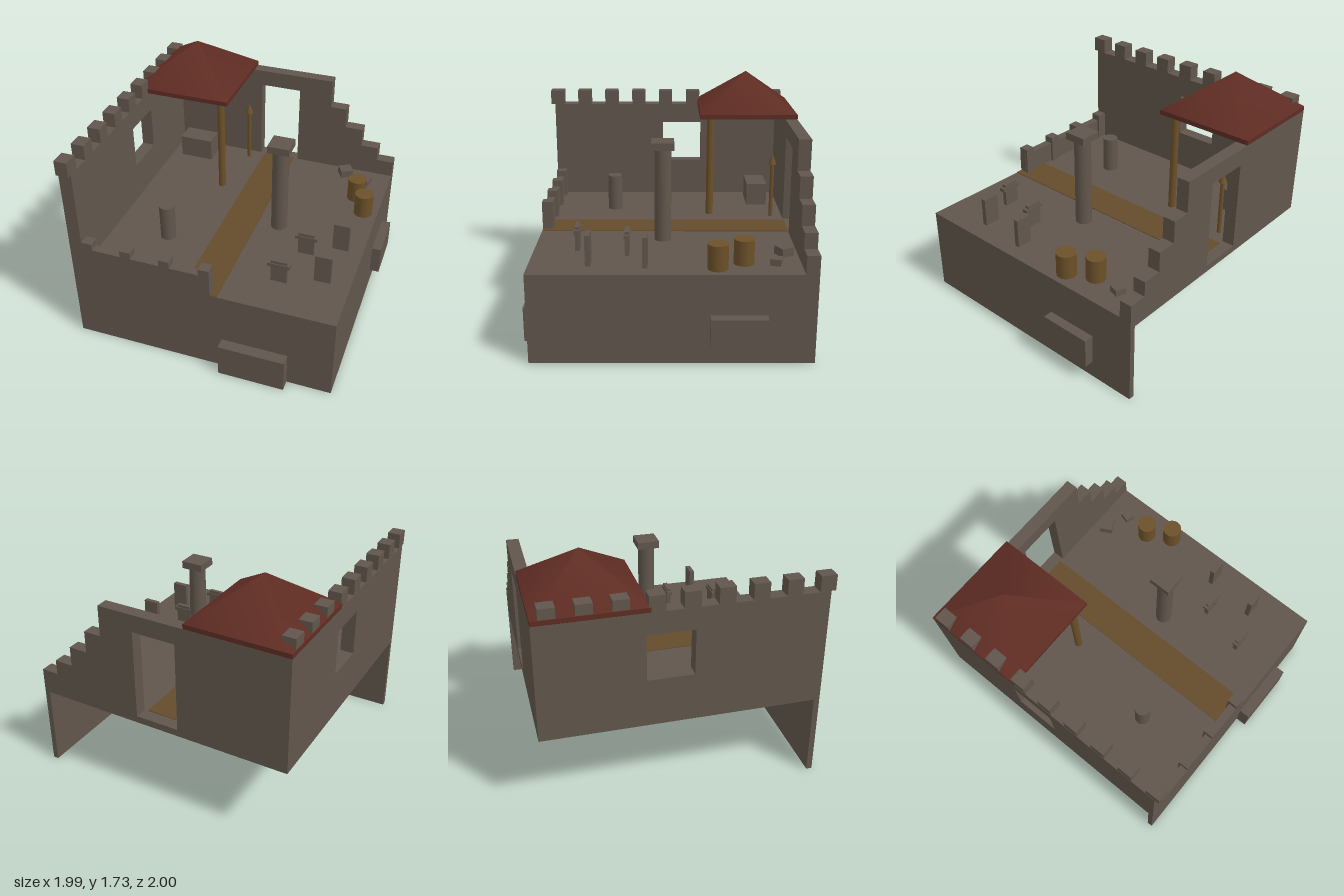
import * as THREE from 'three';

const mat = (name, color) => Object.assign(new THREE.MeshStandardMaterial({ color }), { name });

export function createModel() {
  const model = new THREE.Group();
  model.name = 'ruinedCourtyard';
  const stone = mat('stone', 0x61564c);
  const wood = mat('wood', 0x6c5029);
  const tile = mat('roofTile', 0x5e2c23);
  const path = mat('path', 0x644c2b);
  const floorY = 0.64;

  const add = (name, geometry, material, x = 0, y = 0, z = 0, parent = model) => {
    const mesh = new THREE.Mesh(geometry, material);
    mesh.name = name;
    mesh.position.set(x, y, z);
    parent.add(mesh);
    return mesh;
  };
  // Box given by its limits on each axis
  const box = (name, material, x0, x1, y0, y1, z0, z1) =>
    add(name, new THREE.BoxGeometry(x1 - x0, y1 - y0, z1 - z0), material,
      (x0 + x1) / 2, (y0 + y1) / 2, (z0 + z1) / 2);
  // Upright round part given by its foot and top
  const round = (name, material, r, x, z, y0, y1, rTop = r) =>
    add(name, new THREE.CylinderGeometry(rTop, r, y1 - y0, 24), material, x, (y0 + y1) / 2, z);
  // Wall outline with one rectangular opening
  const wallShape = (points, [u0, u1, v0, v1]) => {
    const shape = new THREE.Shape(points.map(([u, v]) => new THREE.Vector2(u, v)));
    shape.holes.push(new THREE.Path([
      new THREE.Vector2(u0, v0), new THREE.Vector2(u0, v1),
      new THREE.Vector2(u1, v1), new THREE.Vector2(u1, v0)]));
    return shape;
  };

  // Terrace: floor with retaining walls on the front and +x sides
  box('floor', stone, -1, 0.92, 0.59, floorY, -1, 0.92);
  box('frontRetainingWall', stone, -1, 0.92, 0, floorY, 0.88, 0.92);
  box('sideRetainingWall', stone, 0.88, 0.92, 0, floorY, -1, 0.92);
  box('frontButtress', stone, 0.12, 0.6, 0, 0.255, 0.91, 1);
  box('sideButtress', stone, 0.91, 0.99, 0.13, 0.35, -0.675, -0.295);
  box('path', path, -0.165, 0.09, floorY, 0.645, -0.91, 0.918);

  // Crumbling back wall with doorway
  const back = wallShape([
    [-1, 0.59], [0.92, 0.59], [0.92, 0.77], [0.79, 0.77], [0.79, 0.88], [0.65, 0.88],
    [0.65, 1.025], [0.51, 1.025], [0.51, 1.185], [0.38, 1.185], [0.38, 1.41], [-1, 1.41],
  ], [-0.2, 0.12, floorY, 1.285]);
  add('backWall', new THREE.ExtrudeGeometry(back, { depth: 0.09, bevelEnabled: false }), stone, 0, 0, -1);

  // Side wall with window, drawn along -z and turned into place
  const side = wallShape([[-0.92, 0.59], [1, 0.59], [1, 1.41], [-0.92, 1.41]],
    [-0.025, 0.295, 0.93, 1.255]);
  add('sideWall', new THREE.ExtrudeGeometry(side, { depth: 0.095, bevelEnabled: false }), stone, -1)
    .rotation.y = Math.PI / 2;
  for (let i = 0; i < 9; i++) {
    const z = 0.898 - i * 0.2245;
    box('sideMerlon', stone, -0.998, -0.905, 1.41, 1.52, z - 0.054, z + 0.054);
  }

  // Low front parapet
  box('parapet', stone, -1, 0.04, floorY, 0.8, 0.86, 0.92);
  for (const x of [-0.866, -0.577, -0.288, 0]) {
    box('parapetMerlon', stone, x - 0.038, x + 0.038, floorY, 0.85, 0.842, 0.92);
  }

  // Corner roof on a post
  box('roofEaves', tile, -1, -0.263, 1.411, 1.445, -1, -0.263);
  const roof = new THREE.ConeGeometry(0.737 / Math.SQRT2, 0.28, 4);
  roof.rotateY(Math.PI / 4);
  add('roof', roof, tile, -0.632, 1.585, -0.632);
  round('roofPost', wood, 0.028, -0.342, -0.345, floorY, 1.411);

  // Spear and chest by the back wall
  round('spearShaft', wood, 0.015, -0.278, -0.823, floorY, 1.06);
  round('spearHead', wood, 0.03, -0.278, -0.823, 1.06, 1.14, 0);
  box('chest', stone, -0.825, -0.56, floorY, 0.815, -0.82, -0.66);

  // Columns
  round('column', stone, 0.06, 0.25, 0.02, floorY, 1.32);
  box('columnCapital', stone, 0.17, 0.33, 1.315, 1.368, -0.06, 0.1);
  round('columnStump', stone, 0.056, -0.485, 0.405, floorY, 0.915);

  // Barrels
  for (const [x, z] of [[0.715, -0.525], [0.81, -0.345]]) {
    round('barrel', wood, 0.07, x, z, floorY, 0.815);
  }

  // Grave markers
  for (const [x, z] of [[0.53, 0.265], [0.435, 0.615]]) {
    box('crossStone', stone, x - 0.058, x + 0.058, floorY, 0.815, z - 0.015, z + 0.015);
    box('crossArms', stone, x - 0.08, x + 0.08, 0.766, 0.793, z - 0.021, z + 0.021);
  }
  for (const [x, z] of [[0.755, 0.137], [0.72, 0.518]]) {
    box('slabStone', stone, x - 0.059, x + 0.059, floorY, 0.855, z - 0.018, z + 0.018);
  }

  // Fallen blocks
  for (const [x, z, size, height, turn] of [[0.56, -0.815, 0.1, 0.06, 0.5], [0.737, -0.74, 0.078, 0.046, -0.3]]) {
    add('fallenBlock', new THREE.BoxGeometry(size, height, size * 0.95), stone, x, floorY + height / 2, z)
      .rotation.y = turn;
  }
  return model;
}
